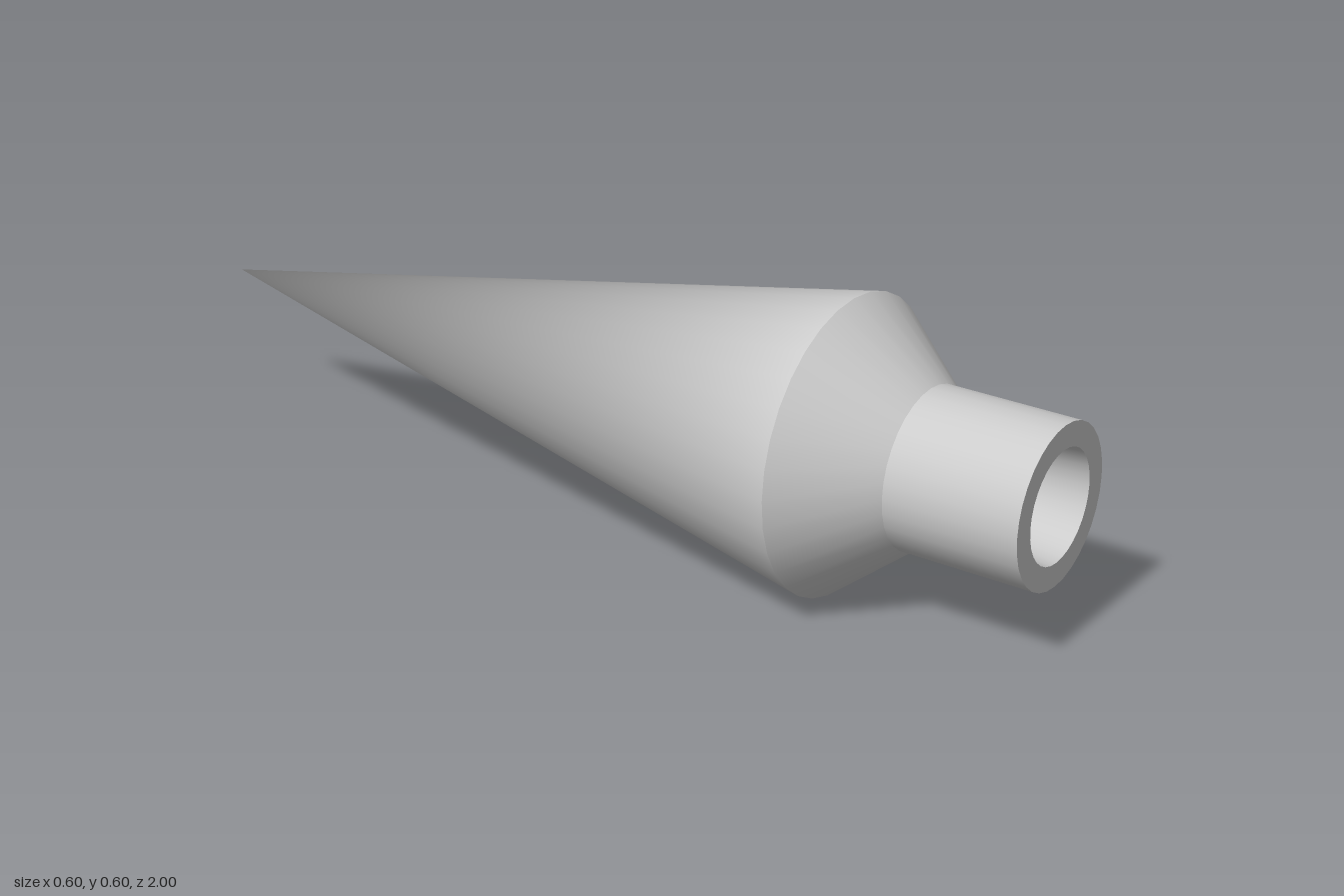
import * as THREE from 'three';

const SIDES = 32;
const material = new THREE.MeshStandardMaterial({ color: 0xcccccc });

// One smooth band of revolution between two [radius, z] rings; edges between bands stay sharp.
function band(name, from, to) {
  const points = [from, to].map(([r, z]) => new THREE.Vector2(r, z));
  const geometry = new THREE.LatheGeometry(points, SIDES);
  geometry.rotateX(Math.PI / 2); // turn the axis from y to z
  const mesh = new THREE.Mesh(geometry, material);
  mesh.name = name;
  return mesh;
}

export function createModel() {
  const model = new THREE.Group();
  model.name = 'taperedPoint';

  // Long cone, with its shading gathered into a single normal at the tip
  const cone = band('cone', [0, -1], [0.3, 0.553]);
  const { position, normal } = cone.geometry.attributes;
  for (let i = 0; i < position.count; i++) {
    if (position.getZ(i) < -0.999) normal.setXYZ(i, 0, 0, -1);
  }

  model.add(
    cone,
    band('shoulder', [0.3, 0.553], [0.162, 0.723]),
    band('socket', [0.162, 0.723], [0.162, 1]),
    band('socketRim', [0.162, 1], [0.113, 1]),
    // Tapered blind bore
    band('bore', [0.113, 1], [0.037, 0.13]),
    band('boreFloor', [0.037, 0.13], [0, 0.13])
  );

  // Rest the widest ring on the ground
  for (const part of model.children) part.position.y = 0.3;
  return model;
}
